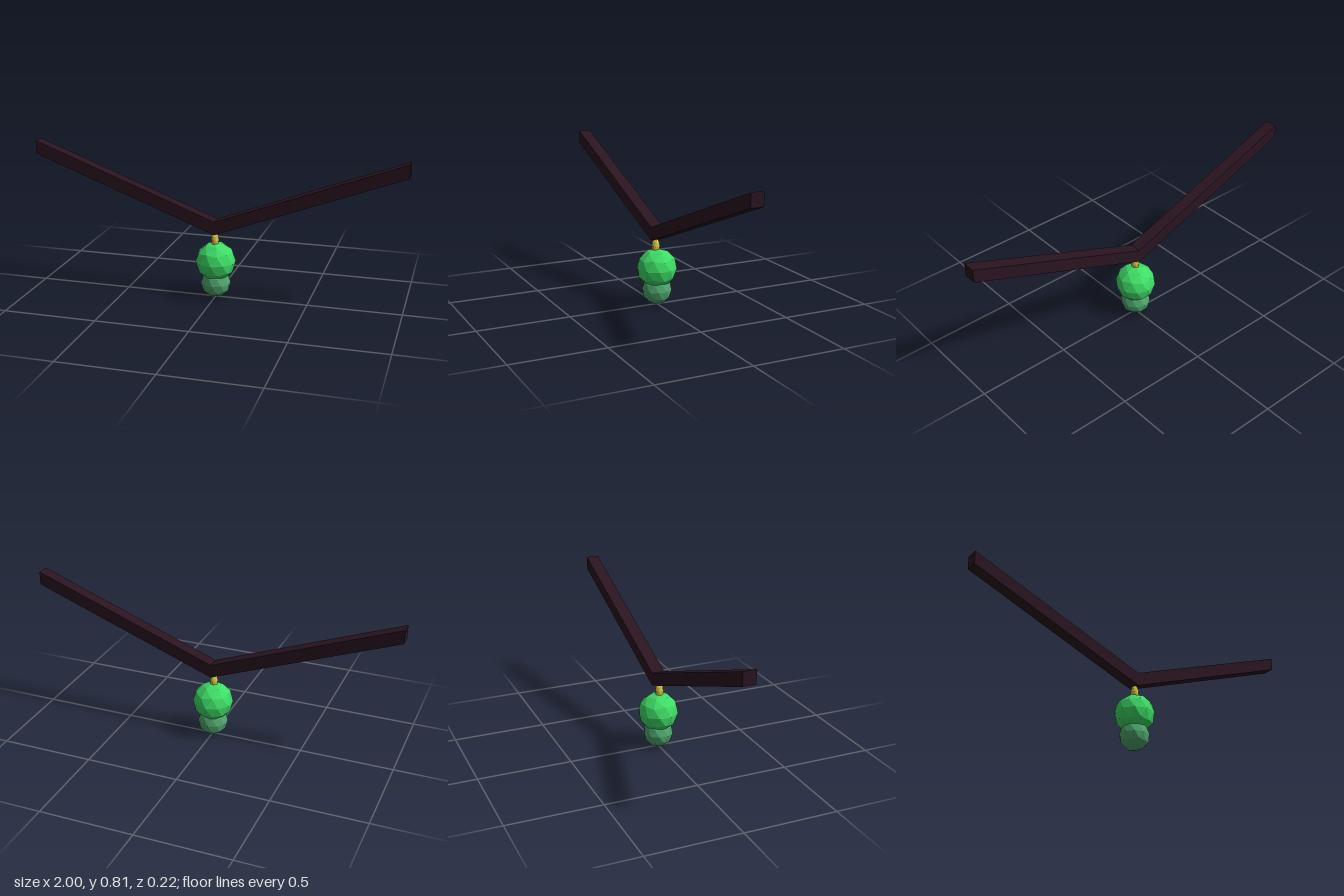
import * as THREE from 'three';

const material = (color) => new THREE.MeshStandardMaterial({ color, flatShading: true });

// Faceted ball with one corner straight up, scaled into an ellipsoid
function ball(name, color, [x, y, z], [rx, ry, rz]) {
  const geometry = new THREE.IcosahedronGeometry(1, 1);
  geometry.rotateX(-Math.atan((1 + Math.sqrt(5)) / 2));
  geometry.rotateY(Math.PI / 2);
  geometry.scale(rx, ry, rz);
  const mesh = new THREE.Mesh(geometry, material(color));
  mesh.name = name;
  mesh.position.set(x, y, z);
  return mesh;
}

export function createModel() {
  const group = new THREE.Group();
  group.name = 'hangingOrnament';

  // V-shaped beam with upright ends
  const depth = 0.068;
  const outline = new THREE.Shape([
    [-1, 0.735], [0, 0.357], [1, 0.735], [1, 0.807], [0, 0.429], [-1, 0.807],
  ].map(([x, y]) => new THREE.Vector2(x, y)));
  const beamGeometry = new THREE.ExtrudeGeometry(outline, { depth, bevelEnabled: false });
  beamGeometry.translate(0, 0, -depth / 2);
  const beam = new THREE.Mesh(beamGeometry, material(0x2a1420));
  beam.name = 'beam';
  group.add(beam);

  // Connector and the two balls hanging below the beam
  group.add(
    ball('connector', 0xd8c840, [-0.003, 0.323, 0.005], [0.021, 0.042, 0.023]),
    ball('upperBall', 0x3edc66, [0, 0.203, 0], [0.108, 0.107, 0.109]),
    ball('lowerBall', 0x50a66e, [0, 0.082, 0], [0.081, 0.081, 0.081]),
  );
  return group;
}
